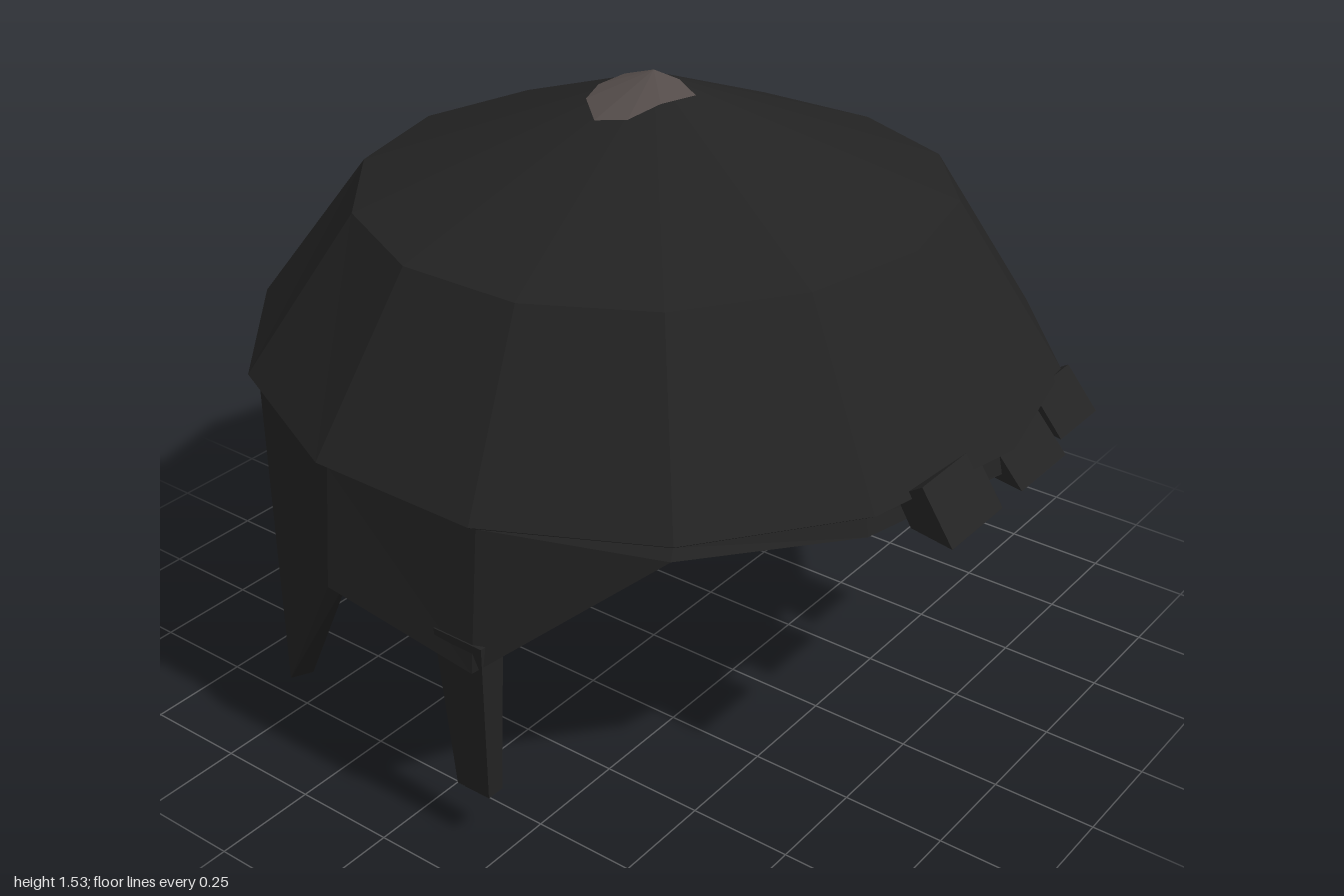
import * as THREE from 'three';

const SIDES = 14;

export function createModel() {
  const model = new THREE.Group();
  const hairMat = new THREE.MeshStandardMaterial({ color: 0x232323 });
  const scalpMat = new THREE.MeshStandardMaterial({ color: 0x544c4a });
  hairMat.name = 'black hair';
  scalpMat.name = 'grey brown scalp';
  for (const m of [hairMat, scalpMat]) m.flatShading = true;

  const add = (name, geometry, material) => {
    const mesh = new THREE.Mesh(geometry, material);
    mesh.name = name;
    model.add(mesh);
    return mesh;
  };

  const fromPoints = (points) => {
    const g = new THREE.BufferGeometry().setFromPoints(points);
    g.computeVertexNormals();
    return g;
  };

  // A ring of the shell: column 0 is at the front, k counts columns towards the back
  const ring = (radiusX, radiusZ, height) =>
    Array.from({ length: SIDES }, (_, i) => {
      const a = (i / SIDES) * Math.PI * 2;
      const k = Math.min(i, SIDES - i);
      const rx = typeof radiusX === 'function' ? radiusX(k) : radiusX;
      const rz = typeof radiusZ === 'function' ? radiusZ(k) : radiusZ;
      return new THREE.Vector3(rx * Math.sin(a), height(k, Math.cos(a)), rz * Math.cos(a));
    });

  // Skin between neighbouring rings, listed from top to bottom of the outside
  const loft = (rings, keep = () => true) => {
    const points = [];
    for (let j = 0; j + 1 < rings.length; j++) {
      for (let i = 0; i < SIDES; i++) {
        if (!keep(i)) continue;
        const n = (i + 1) % SIDES;
        const a = rings[j][i], b = rings[j][n], c = rings[j + 1][n], d = rings[j + 1][i];
        if (c.distanceTo(d) > 1e-5) points.push(a, d, c);
        if (a.distanceTo(b) > 1e-5) points.push(a, c, b);
      }
    }
    return fromPoints(points);
  };

  // Lower hairline: high over the face, low at the nape
  const hairline = [0.82, 0.82, 0.82, 0.49, 0.54, 0.02, 0.015, 0];
  const bottomX = (k) => (k === 3 || k === 4 ? 0.935 : 0.92);
  const bottomZ = (k) => (k < 5 ? 0.95 : 0.94 + 0.01 * (k - 5));
  const eave = (k, c) => 0.85 + 0.035 * c * c;

  const outerBottom = ring(bottomX, bottomZ, (k) => hairline[k]);
  const innerBottom = ring((k) => bottomX(k) - 0.06, (k) => bottomZ(k) - 0.05, (k) => hairline[k] + 0.005);
  const innerBrow = ring(0.83, 0.88, (k, c) => 0.8 + 0.06 * c);
  const innerCrown = ring(0.6, 0.62, () => 1.2);

  // Crown and overhanging cap
  add('hairCap', loft([
    ring(0, 0, () => 1.527),
    ring(0.69, 0.705, (k, c) => 1.25 + 0.02 * c * c + 0.01 * c),
    ring(0.93, (k) => (k < 4 ? 0.97 : 1), eave),
    ring(0.9, (k) => (k < 4 ? 0.94 : 0.985), (k, c) => eave(k, c) - 0.02),
  ]), hairMat);

  // Sides and back, with the rim and the inner wall
  add('hairSkirt', loft([
    ring(0.9, (k) => (k < 4 ? 0.94 : 0.985), (k, c) => eave(k, c) - 0.02),
    outerBottom, innerBottom, innerBrow,
  ]), hairMat);

  // Lining of the cap, with bare scalp showing behind the forehead
  const isFront = (i) => i < 2 || i >= SIDES - 2;
  add('innerCap', loft([innerBrow, innerCrown], (i) => !isFront(i)), hairMat);
  add('innerCrown', loft([innerCrown, ring(0, 0, () => 1.45)]), hairMat);
  add('innerForehead', loft([innerBrow, innerCrown], isFront), scalpMat);

  // Bare patch at the top of the crown
  const outline = [
    [-0.19, -0.02], [-0.16, 0.05], [-0.08, 0.08], [0.01, 0.11], [0.03, 0.05],
    [0.04, -0.03], [0.02, -0.1], [-0.05, -0.12], [-0.12, -0.1],
  ].map(([x, z]) => new THREE.Vector3(x, 1.532 - 0.36 * Math.hypot(x, z), z));
  const apex = new THREE.Vector3(0, 1.532, 0);
  add('crownPatch', fromPoints(outline.flatMap((p, i) =>
    [apex, p, outline[(i + 1) % outline.length]])), scalpMat);

  // Tapering sideburns
  for (const side of [1, -1]) {
    const g = new THREE.BoxGeometry(0.07, 0.42, 0.135);
    const p = g.attributes.position;
    for (let i = 0; i < p.count; i++) {
      if (p.getY(i) < 0) p.setXYZ(i, p.getX(i) * 0.65 - side * 0.015, p.getY(i), p.getZ(i) * 0.68);
    }
    g.computeVertexNormals();
    add(side > 0 ? 'leftSideburn' : 'rightSideburn', g, hairMat).position.set(side * 0.873, 0.35, 0.17);
  }

  // Blunt fringe tufts leaning forward from the brow
  const tufts = [
    [-0.195, 0.21, 0.915, 1.0],
    [0.095, 0.2, 0.885, 1.0],
    [0.335, 0.17, 0.89, 0.96],
  ];
  for (const [x, width, top, front] of tufts) {
    const profile = new THREE.Shape([
      new THREE.Vector2(front - 0.08, top),
      new THREE.Vector2(front - 0.14, top - 0.04),
      new THREE.Vector2(front - 0.1, 0.81),
      new THREE.Vector2(front, 0.795),
    ]);
    const g = new THREE.ExtrudeGeometry(profile, { depth: width, bevelEnabled: false });
    g.rotateY(-Math.PI / 2);
    add('fringeTuft', g, hairMat).position.x = x + width / 2;
  }

  return model;
}
